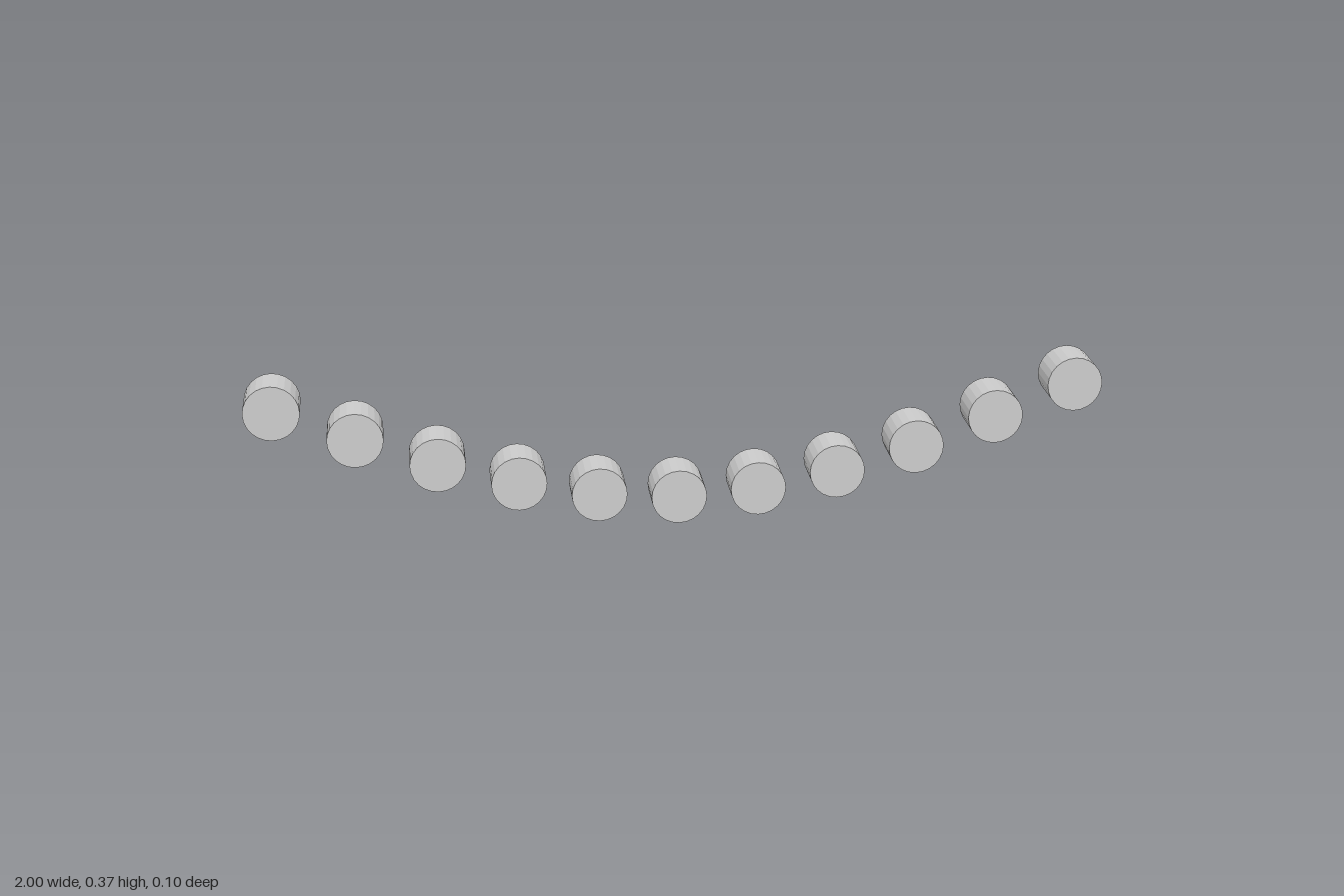
import * as THREE from 'three';

export function createModel() {
  const model = new THREE.Group();
  model.name = 'curvedRowOfDiscs';
  const material = new THREE.MeshStandardMaterial({ color: 0xcccccc, flatShading: true });

  const radius = 0.065, depth = 0.098, spacing = 0.187;
  // one short faceted cylinder with its axis along z
  const geometry = new THREE.CylinderGeometry(radius, radius, depth, 24).rotateX(Math.PI / 2);

  // rise of each disc above the lowest one, from the middle outwards
  const rises = [0, 0.013, 0.048, 0.102, 0.17, 0.243];

  const addDisc = (name, x, rise) => {
    const disc = new THREE.Mesh(geometry, material);
    disc.name = name;
    disc.position.set(x, radius + rise, 0);
    model.add(disc);
  };

  // middle disc, then mirrored pairs along the sagging curve
  rises.forEach((rise, i) => {
    if (i === 0) return addDisc('middleDisc', 0, rise);
    addDisc(`leftDisc${i}`, i * spacing, rise);
    addDisc(`rightDisc${i}`, -i * spacing, rise);
  });

  return model;
}
